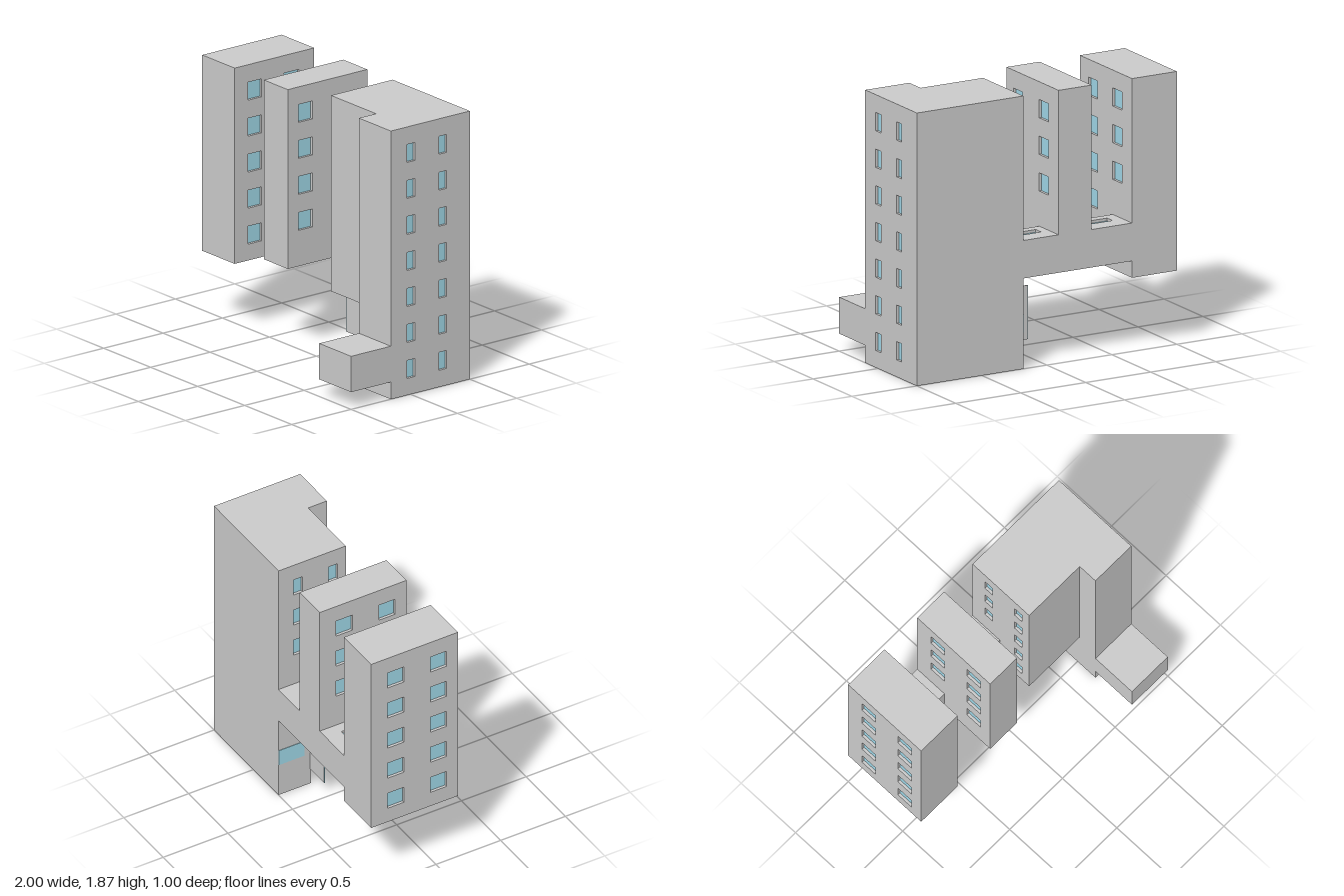
import * as THREE from 'three';
import { mergeGeometries } from 'three/addons/utils/BufferGeometryUtils.js';

const D = 0.02; // depth of the window recesses
const wallMat = new THREE.MeshStandardMaterial({ color: 0xcccccc });
const glassMat = new THREE.MeshStandardMaterial({ color: 0xa0d8e8, side: THREE.DoubleSide });
const redMat = new THREE.MeshStandardMaterial({ color: 0xee1020, side: THREE.DoubleSide });

function box(x0, x1, y0, y1, z0, z1) {
  return new THREE.BoxGeometry(x1 - x0, y1 - y0, z1 - z0)
    .translate((x0 + x1) / 2, (y0 + y1) / 2, (z0 + z1) / 2);
}

function rect(PathType, u0, u1, v0, v1) {
  const p = new PathType();
  p.moveTo(u0, v0).lineTo(u1, v0).lineTo(u1, v1).lineTo(u0, v1).closePath();
  return p;
}

// Slab pierced by windows [centre u, centre v, width, height], plus the glass behind it
function facade(u0, u1, v0, v1, wins, outward) {
  const shape = rect(THREE.Shape, u0, u1, v0, v1);
  const panes = [];
  for (const [u, v, w, h] of wins) {
    shape.holes.push(rect(THREE.Path, u - w / 2, u + w / 2, v - h / 2, v + h / 2));
    panes.push(new THREE.PlaneGeometry(w, h).translate(u, v, outward ? 0.001 : D - 0.001));
  }
  const slab = new THREE.ExtrudeGeometry(shape, { depth: D, bevelEnabled: false });
  return { slab, glass: mergeGeometries(panes) };
}

// Box with recessed windows: x faces take [z, y, w, h], y faces take [x, z, w, h]
function block(name, [x0, x1, y0, y1, z0, z1], { right, left, top, bottom } = {}) {
  const g = new THREE.Group();
  g.name = name;
  const cx0 = right ? x0 + D : x0, cx1 = left ? x1 - D : x1;
  const cy0 = bottom ? y0 + D : y0, cy1 = top ? y1 - D : y1;
  const add = (geo, mat, part) => {
    const m = new THREE.Mesh(geo, mat);
    m.name = part;
    g.add(m);
  };
  add(box(cx0, cx1, cy0, cy1, z0, z1), wallMat, name + 'Core');
  const sideFace = (wins, x, out) => {
    const f = facade(-z1, -z0, y0, y1, wins.map(([z, y, w, h]) => [-z, y, w, h]), out);
    for (const k of ['slab', 'glass']) {
      add(f[k].rotateY(Math.PI / 2).translate(x, 0, 0), k === 'slab' ? wallMat : glassMat,
        k === 'slab' ? 'sideWall' : 'sideWindows');
    }
  };
  const flatFace = (wins, y, out) => {
    const f = facade(cx0, cx1, -z1, -z0, wins.map(([x, z, w, h]) => [x, -z, w, h]), out);
    for (const k of ['slab', 'glass']) {
      add(f[k].rotateX(-Math.PI / 2).translate(0, y, 0), k === 'slab' ? wallMat : glassMat,
        k === 'slab' ? 'slab' : 'slabWindows');
    }
  };
  if (left) sideFace(left, x1 - D, true);
  if (right) sideFace(right, x0, false);
  if (top) flatFace(top, y1 - D, true);
  if (bottom) flatFace(bottom, y0, false);
  return g;
}

// Column of windows, counted down from the top floor
function column(z, rows, w) {
  return Array.from({ length: rows }, (_, i) => [z, 1.685 - i * 0.251, w, 0.125]);
}

export function createModel() {
  const model = new THREE.Group();
  model.name = 'building';
  const H = 1.87, B = -0.5;

  // Two hanging towers
  model.add(block('outerTower', [-1, -0.655, 0.505, H, B, 0.17], {
    left: [...column(0, 5, 0.115), ...column(-0.31, 3, 0.125)],
    right: [...column(0.02, 5, 0.125), ...column(-0.31, 5, 0.125)],
    bottom: [[-0.77, 0.03, 0.065, 0.12], [-0.92, 0.03, 0.065, 0.12],
      [-0.77, -0.34, 0.06, 0.08], [-0.92, -0.34, 0.06, 0.08]],
  }));
  model.add(block('middleTower', [-0.345, -0.09, 0.62, H, B, 0.17], {
    left: [...column(0.02, 4, 0.115), ...column(-0.31, 3, 0.125)],
    right: [...column(0.02, 4, 0.125), ...column(-0.31, 3, 0.125)],
    bottom: [[-0.15, -0.05, 0.06, 0.12], [-0.29, -0.05, 0.06, 0.12],
      [-0.15, -0.34, 0.06, 0.07], [-0.29, -0.34, 0.06, 0.07]],
  }));

  // Bridges joining the towers
  for (const [x0, x1, cx, w] of [[-0.655, -0.345, -0.5, 0.155], [-0.09, 0.18, 0.042, 0.14]]) {
    const win = [[cx, -0.345, w, 0.07]];
    model.add(block('bridge', [x0, x1, 0.62, 0.88, B, -0.25], { top: win, bottom: win }));
  }

  // Main block: upper storeys overhang a shallower ground floor
  model.add(block('mainUpper', [0.18, 0.66, 0.505, H, B, 0.02], {
    right: [...column(-0.08, 5, 0.07), ...column(-0.35, 3, 0.07)],
  }));
  model.add(block('mainLower', [0.18, 0.66, 0, 0.505, B, -0.25], {
    bottom: [[0.55, -0.34, 0.13, 0.065], [0.3, -0.34, 0.13, 0.065]],
  }));
  model.add(block('mainWing', [0.66, 1, 0, H, B, 0.165], {
    left: [...column(-0.003, 7, 0.068), ...column(-0.272, 7, 0.066)],
    bottom: [[0.9, -0.04, 0.06, 0.13], [0.76, -0.04, 0.06, 0.13],
      [0.9, -0.34, 0.06, 0.07], [0.76, -0.34, 0.06, 0.07]],
  }));

  // Porch with a red cross on its underside
  model.add(block('porch', [0.66, 1, 0.12, 0.37, 0.165, 0.5]));
  const cross = new THREE.Group();
  cross.name = 'redCross';
  for (const [w, h, z] of [[0.25, 0.08, 0], [0.08, 0.085, 0.0825], [0.08, 0.085, -0.0825]]) {
    const bar = new THREE.Mesh(new THREE.PlaneGeometry(w, h).rotateX(Math.PI / 2), redMat);
    bar.name = 'crossBar';
    bar.position.z = z;
    cross.add(bar);
  }
  cross.position.set(0.84, 0.118, 0.325);
  model.add(cross);

  // Thin screen wall continuing the ground-floor front
  model.add(block('screenWall', [0.003, 0.18, 0.12, 0.49, -0.256, -0.25]));
  const edge = new THREE.Mesh(box(0, 0.003, 0.12, 0.49, -0.256, -0.25), glassMat);
  edge.name = 'screenEdge';
  model.add(edge);

  // Glass pane on the ground-floor side wall
  const pane = new THREE.Mesh(box(0.177, 0.182, 0.25, 0.37, -0.499, -0.3), glassMat);
  pane.name = 'sidePane';
  model.add(pane);

  return model;
}
